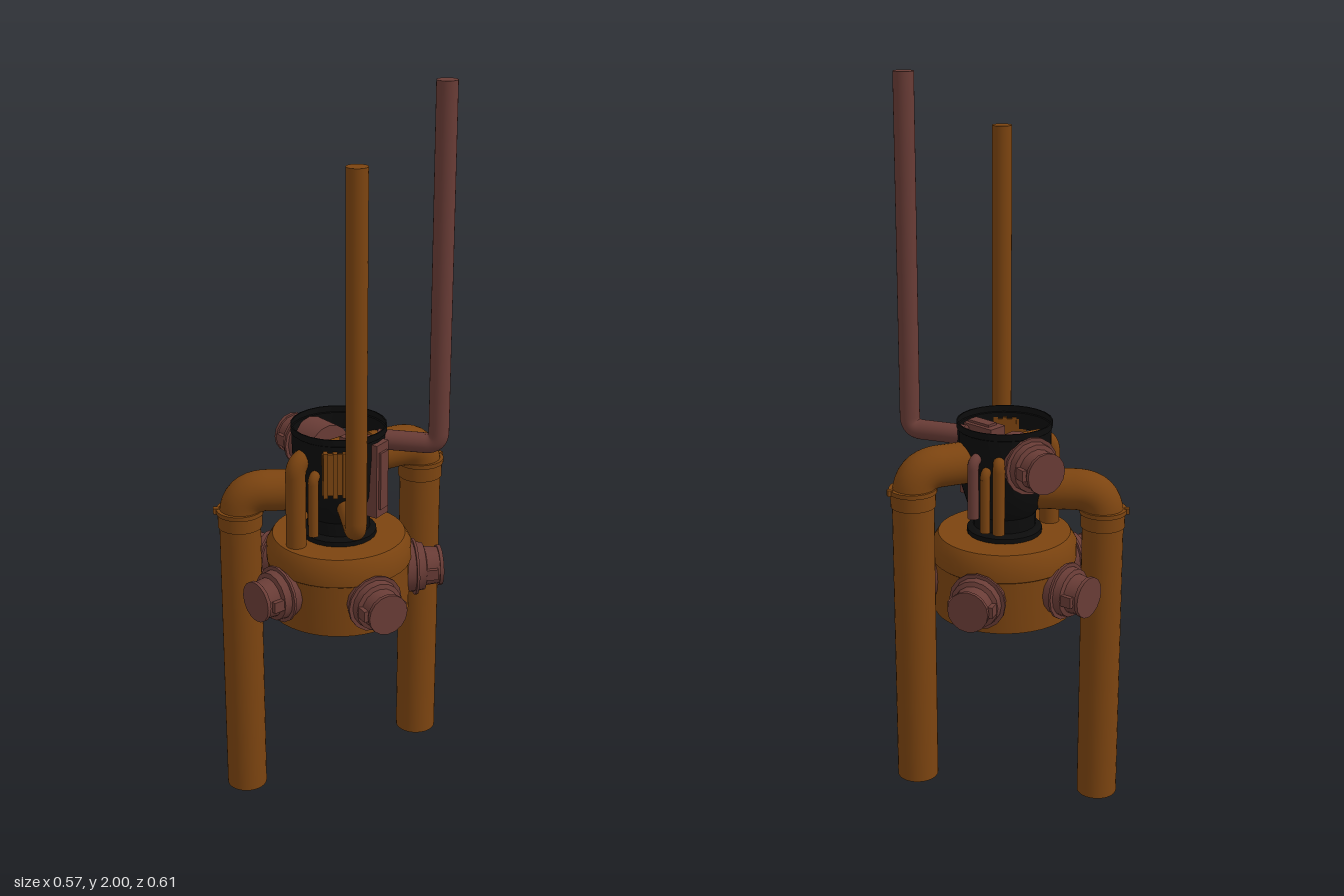
import * as THREE from 'three';
import { toCreasedNormals } from 'three/addons/utils/BufferGeometryUtils.js';

const CZ = 0.022; // z of the main vertical axis

export function createModel() {
  const model = new THREE.Group();
  model.name = 'pipedMachine';

  const mat = (name, color, side = THREE.FrontSide) => {
    const m = new THREE.MeshStandardMaterial({ color, side });
    m.name = name;
    return m;
  };
  const copper = mat('copper', 0x7c4410);
  const rust = mat('rust', 0x693c36);
  const black = mat('black', 0x0c0c0c);
  const blackSheet = mat('blackSheet', 0x0c0c0c, THREE.DoubleSide);

  const add = (name, geo, material, parent = model) => {
    const mesh = new THREE.Mesh(geo, material);
    mesh.name = name;
    parent.add(mesh);
    return mesh;
  };
  const V = (x, y, z) => new THREE.Vector3(x, y, z);
  // Profile of [radius, height] pairs, bottom to top
  const lathe = (pts, sides) => toCreasedNormals(
    new THREE.LatheGeometry(pts.map(p => new THREE.Vector2(p[0], p[1])), sides), 0.6);

  // Straight rod between two points
  const rod = (name, a, b, r, material, parent, sides = 24) => {
    const mesh = add(name, new THREE.CylinderGeometry(r, r, a.distanceTo(b), sides), material, parent);
    mesh.position.copy(a).add(b).multiplyScalar(0.5);
    mesh.quaternion.setFromUnitVectors(V(0, 1, 0), b.clone().sub(a).normalize());
    return mesh;
  };

  // Pipe: vertical run from yEnd to the axis height y, then a bend to an inner point
  const bentPipe = (name, { x, z, yEnd, y, inner, r, bend = r * 1.6, material, sides = 24 }) => {
    const g = new THREE.Group();
    g.name = name;
    const corner = V(x, y, z);
    const inPoint = V(inner[0], y, inner[1]);
    const vert = V(x, y + Math.sign(yEnd - y) * bend, z);
    const horiz = corner.clone().add(inPoint.clone().sub(corner).setLength(bend));
    rod(name + 'Vertical', V(x, yEnd, z), vert, r, material, g, sides);
    add(name + 'Elbow', new THREE.TubeGeometry(
      new THREE.QuadraticBezierCurve3(vert, corner, horiz), 10, r, sides), material, g);
    rod(name + 'Horizontal', horiz, inPoint, r, material, g, sides);
    model.add(g);
    return g;
  };

  // Drum body with chamfered shoulder and a raised band
  const drum = add('drum', lathe([
    [0, 0.571], [0.193, 0.571], [0.193, 0.715], [0.197, 0.718], [0.197, 0.762],
    [0.18, 0.79], [0, 0.79]], 40), copper);
  drum.position.z = CZ;

  // Black vessel: base flange, tapered body, open rim
  const base = add('vesselBase', lathe([
    [0.07, 0.785], [0.102, 0.785], [0.102, 0.803], [0.085, 0.812], [0.07, 0.812]], 24), black);
  const body = add('vesselBody', lathe([
    [0.085, 0.81], [0.085, 0.85], [0.1, 0.87], [0.118, 0.93], [0.122, 1.0], [0.125, 1.04]], 24), black);
  const rim = add('vesselRim', lathe([
    [0.125, 1.04], [0.125, 1.085], [0.128, 1.087], [0.128, 1.105], [0.124, 1.105]], 24), blackSheet);
  for (const m of [base, body, rim]) m.position.z = CZ;

  // Stepped nozzles, built along +z with the tip at tip
  const nozzle = (name, angle, y, start, tip) => {
    const steps = [[0, start], [0.069, start], [0.069, tip - 0.078], [0.078, tip - 0.078],
      [0.078, tip - 0.071], [0.068, tip - 0.071], [0.066, tip - 0.05], [0.054, tip - 0.046],
      [0.051, tip - 0.01], [0.056, tip - 0.01], [0.056, tip], [0, tip]];
    const geo = lathe(steps, 16);
    geo.rotateX(Math.PI / 2);
    const mesh = add(name, geo, rust);
    mesh.position.set(0, y, CZ);
    mesh.rotation.y = Math.PI / 2 - angle;
    // Clamp lugs on the nozzle body
    for (const s of [-1, 1]) {
      const lug = add('nozzleLug', new THREE.BoxGeometry(0.012, 0.03, 0.035), rust, mesh);
      lug.position.set(s * 0.056, 0, tip - 0.035);
    }
  };
  [90, 159, 231, 301, 12].forEach((deg, i) =>
    nozzle('drumNozzle' + (i + 1), deg * Math.PI / 180, 0.667, 0.14, 0.283));
  nozzle('vesselNozzle', Math.PI, 1.015, 0.04, 0.208);

  // Large leg pipes with collars below their elbows
  const legs = [
    { name: 'backLeg', x: 0.038, z: -0.236, yEnd: 0.1, y: 1.0, inner: [0.014, -0.075], collar: 0.945 },
    { name: 'frontLeg', x: -0.158, z: 0.236, yEnd: 0, y: 0.915, inner: [-0.055, 0.097], collar: 0.858 },
  ];
  for (const l of legs) {
    const leg = bentPipe(l.name, { ...l, r: 0.056, bend: 0.075, material: copper, sides: 28 });
    const sleeve = add('legSleeve', new THREE.CylinderGeometry(0.06, 0.06, 0.05, 28), copper, leg);
    sleeve.position.set(l.x, l.collar - 0.02, l.z);
    const collar = add('legCollar', new THREE.CylinderGeometry(0.064, 0.064, 0.012, 28), copper, leg);
    collar.position.set(l.x, l.collar, l.z);
    // Small clasp on the outer side of the collar
    const out = V(l.x, 0, l.z - CZ).normalize();
    const clasp = add('collarClasp', new THREE.BoxGeometry(0.014, 0.016, 0.014), copper, leg);
    clasp.position.set(l.x + out.x * 0.064, l.collar, l.z + out.z * 0.064);
    clasp.rotation.y = Math.atan2(out.x, out.z);
  }

  // Tall thin chimneys
  bentPipe('rustChimney', { x: 0.192, z: -0.16, yEnd: 2, y: 1.058, inner: [0.065, -0.06],
    r: 0.027, bend: 0.035, material: rust });
  bentPipe('copperChimney', { x: 0.231, z: 0.153, yEnd: 1.84, y: 0.905, inner: [0.08, 0.062],
    r: 0.027, bend: 0.035, material: copper });

  // Hooked feed pipe at the front and smaller ones around the vessel
  bentPipe('frontFeedPipe', { x: -0.003, z: 0.165, yEnd: 0.78, y: 1.033, inner: [-0.003, 0.0],
    r: 0.027, material: copper });
  const hooks = [
    [-0.103, -0.058, 0.83, 1.03, -0.06, -0.025, 0.016, copper],
    [-0.073, -0.082, 0.83, 1.0, -0.058, -0.05, 0.013, copper],
    [0.046, 0.145, 0.83, 1.0, 0.035, 0.11, 0.014, copper],
    [-0.056, -0.108, 0.87, 1.03, -0.037, -0.072, 0.015, rust],
  ];
  hooks.forEach(([x, z, yEnd, y, ix, iz, r, material], i) =>
    bentPipe('smallPipe' + (i + 1), { x, z, yEnd, y, inner: [ix, iz], r, material, sides: 14 }));

  // Rust control box through the vessel wall, with a raised lid and side panel
  const box = new THREE.Group();
  box.name = 'controlBox';
  box.position.set(0.076, 0.975, -0.002);
  box.rotation.y = 0.28;
  model.add(box);
  add('boxBody', new THREE.BoxGeometry(0.117, 0.205, 0.055), rust, box);
  add('boxLid', new THREE.BoxGeometry(0.075, 0.008, 0.032), rust, box).position.set(0, 0.105, 0);
  add('boxPanel', new THREE.BoxGeometry(0.008, 0.16, 0.035), rust, box).position.set(0.061, 0, 0);

  // Copper ribbed radiator plate on the vessel side
  const radiator = new THREE.Group();
  radiator.name = 'radiator';
  radiator.position.set(0.106, 1.01, 0.088);
  radiator.rotation.y = Math.atan2(0.82, 0.57);
  model.add(radiator);
  add('radiatorPlate', new THREE.BoxGeometry(0.118, 0.115, 0.01), copper, radiator);
  for (let i = -2; i <= 2; i++) {
    add('radiatorRib', new THREE.BoxGeometry(0.012, 0.125, 0.02), copper, radiator)
      .position.set(i * 0.025, 0, 0.004);
  }

  return model;
}
